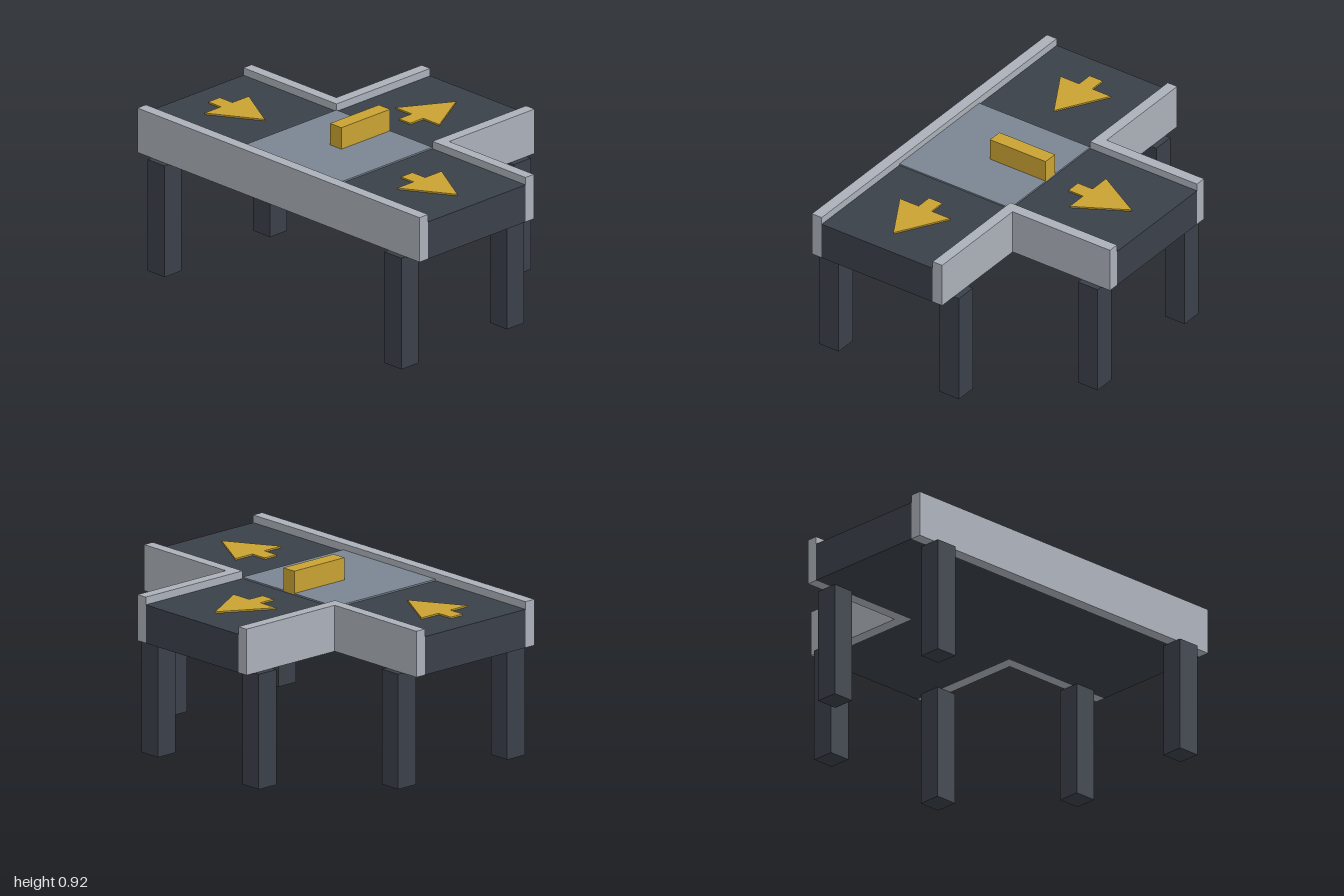
import * as THREE from 'three';

export function createModel() {
  const model = new THREE.Group();
  model.name = 'conveyorJunction';

  const paint = (name, color) => {
    const m = new THREE.MeshStandardMaterial({ color });
    m.name = name;
    return m;
  };
  const dark = paint('charcoal', 0x3a4049);
  const metal = paint('lightGrey', 0xabb0b9);
  const slate = paint('slateGrey', 0x7b8593);
  const gold = paint('gold', 0xc8a232);

  // Box given by its minimum and maximum corners
  const box = (name, material, [x0, y0, z0], [x1, y1, z1]) => {
    const mesh = new THREE.Mesh(new THREE.BoxGeometry(x1 - x0, y1 - y0, z1 - z0), material);
    mesh.position.set((x0 + x1) / 2, (y0 + y1) / 2, (z0 + z1) / 2);
    mesh.name = name;
    model.add(mesh);
  };

  const bottom = 0.6, deck = 0.8, railTop = 0.84;
  const left = -0.628, right = 0.054, end = 0.71, half = 0.34, rail = 0.06;

  // Belt beds, transfer plate and diverter block
  box('mainBelt', dark, [left, bottom, -1], [right, deck, 1]);
  box('branchBelt', dark, [right, bottom, -half], [end, deck, half]);
  box('transferPlate', slate, [left, deck, -half], [right, deck + 0.008, half]);
  box('diverter', gold, [-0.287, deck + 0.004, -0.04], [right, 0.924, 0.04]);

  // Long side rail
  box('longRail', metal, [left - rail, bottom, -1], [left, railTop, 1]);

  // Rails and legs mirrored front to back
  for (const s of [1, -1]) {
    const span = (a, b) => (s > 0 ? [a, b] : [-b, -a]);
    const [m0, m1] = span(half + rail, 1);
    box('shortRail', metal, [right, bottom, m0], [right + 0.058, railTop, m1]);
    const [b0, b1] = span(half, half + rail);
    box('branchRail', metal, [right, bottom, b0], [end, railTop, b1]);
    for (const [x, z] of [[-0.656, 0.84], [0.083, 0.84], [0.595, 0.37]]) {
      box('leg', dark, [x - 0.06, 0, s * z - 0.06], [x + 0.06, bottom, s * z + 0.06]);
    }
  }

  // Flat direction arrows, drawn pointing along +x
  const outline = [[-0.18, -0.04], [-0.09, -0.04], [-0.09, -0.155], [0.18, 0],
    [-0.09, 0.155], [-0.09, 0.04], [-0.18, 0.04]];
  const arrowGeometry = new THREE.ExtrudeGeometry(
    new THREE.Shape(outline.map(([x, y]) => new THREE.Vector2(x, y))),
    { depth: 0.008, bevelEnabled: false });
  arrowGeometry.rotateX(-Math.PI / 2);
  for (const [x, z, turn] of [[-0.287, -0.683, -Math.PI / 2], [-0.287, 0.683, -Math.PI / 2], [0.375, 0, 0]]) {
    const arrow = new THREE.Mesh(arrowGeometry, gold);
    arrow.position.set(x, deck, z);
    arrow.rotation.y = turn;
    arrow.name = 'directionArrow';
    model.add(arrow);
  }

  return model;
}
